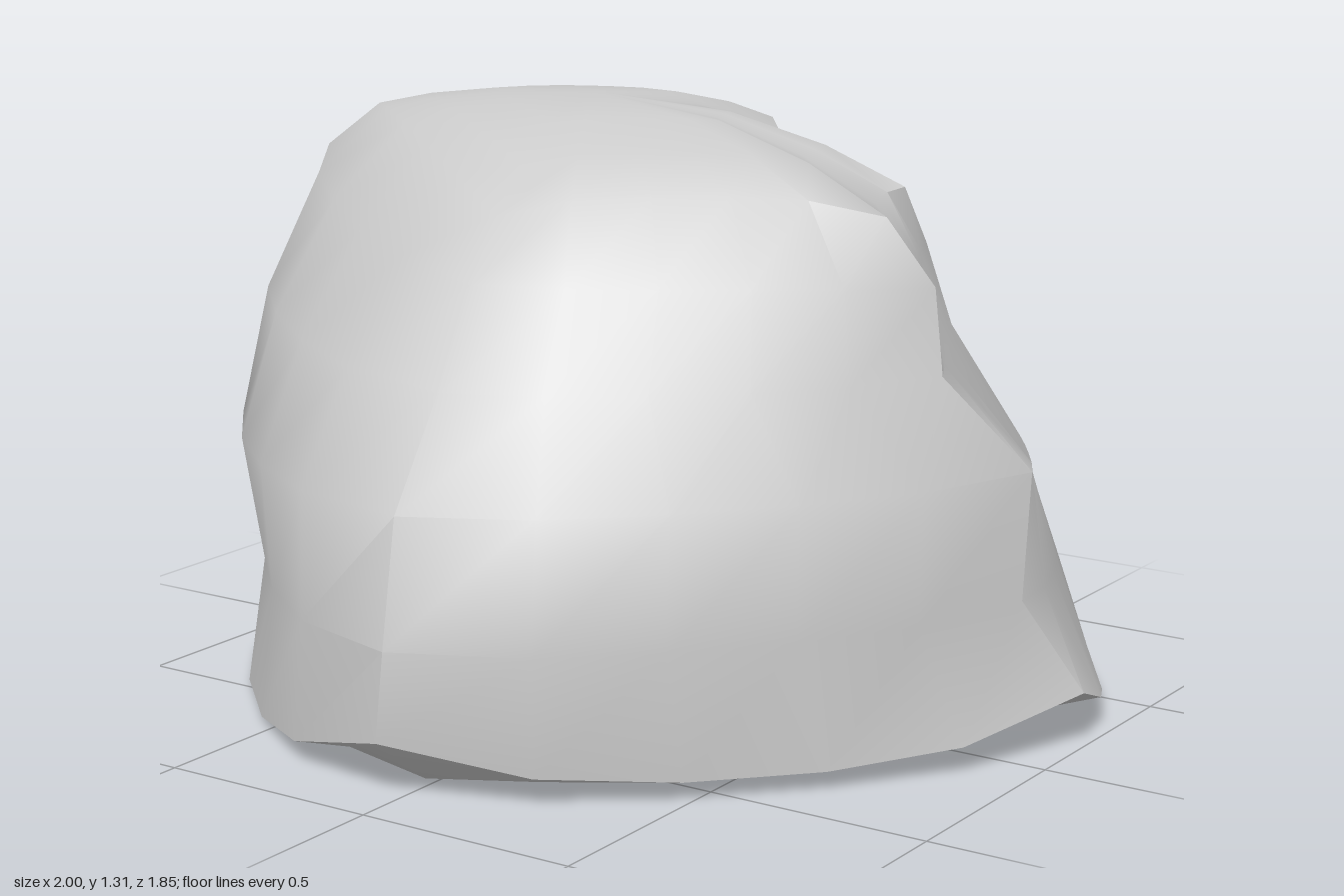
import * as THREE from 'three';
import { toCreasedNormals } from 'three/addons/utils/BufferGeometryUtils.js';

// Ridges run from the ground to the rim, ordered counterclockwise seen from above.
const RIDGES = [
  // front
  [[-.03, 0, .76], [-.03, .12, .92], [0, .32, .93], [-.02, .58, .86], [-.03, .8, .7], [-.035, 1, .58], [-.04, 1.13, .49]],
  // right
  [[.68, 0, -.1], [1, .12, -.17], [.885, .32, -.1], [.9, .6, -.1], [.74, .8, 0], [.73, .99, .02], [.63, 1.13, .05]],
  // back right lobe
  [[.52, 0, -.65], [.64, .04, -.77], [.64, .3, -.67], [.64, .58, -.51], [.54, .82, -.4], [.54, 1.02, -.28], [.53, 1.15, -.2]],
  // back
  [[.1, 0, -.72], [.06, .06, -.89], [.06, .32, -.78], [.02, .55, -.68], [-.03, .8, -.71], [0, 1.08, -.56], [0, 1.22, -.52]],
  // left
  [[-.9, 0, -.02], [-1, .05, 0], [-.9, .3, 0], [-1, .57, .03], [-.98, .87, 0], [-.92, 1.14, -.05], [-.8, 1.24, -.09]],
];

// Outward swell of the face after each ridge, one value per level.
const SWELL = [
  [.12, .15, .16, .14, .09, .05, 0],
  [.05, .065, .05, .01, 0, -.02, -.04],
  [.06, .08, .08, .02, -.05, -.08, -.06],
  [.03, .05, .1, .15, .18, .17, .15],
  [.16, .18, .19, .19, .17, .11, .04],
];

// How far each face's lower edge dips, and its rim rises, at the middle.
const DIP = [.08, .05, .02, .03, .08];
const LIFT = [.045, 0, 0, 0, .05];
const STEPS = 5;
const PEAK = new THREE.Vector3(-.2, 1.31, -.1);

// One closed loop of points around the rock at a given level.
function makeRing(level) {
  const ring = [];
  RIDGES.forEach((ridge, f) => {
    const a = new THREE.Vector3(...ridge[level]);
    const b = new THREE.Vector3(...RIDGES[(f + 1) % RIDGES.length][level]);
    const out = new THREE.Vector3(a.z - b.z, 0, b.x - a.x).normalize();
    for (let s = 0; s < STEPS; s++) {
      const t = s / STEPS;
      const arch = Math.sin(Math.PI * t) ** .55;
      const p = a.clone().lerp(b, t).addScaledVector(out, SWELL[f][level] * arch);
      if (level === 1) p.y = Math.max(.015, p.y - DIP[f] * arch);
      if (level === ridge.length - 1) p.y += LIFT[f] * arch;
      ring.push(p);
    }
  });
  return ring;
}

function rockGeometry() {
  const rings = RIDGES[0].map((_, level) => makeRing(level));
  const rim = rings[rings.length - 1];
  // shallow domed top
  for (const r of [.75, .45]) {
    rings.push(rim.map((p) => {
      const q = PEAK.clone().lerp(p, r);
      q.y = p.y + (PEAK.y - p.y) * (1 - r ** 2.3);
      return q;
    }));
  }

  const positions = [];
  const tri = (...points) => points.forEach((p) => positions.push(p.x, p.y, p.z));
  const n = rim.length;
  const base = new THREE.Vector3(0, 0, 0);
  const last = rings[rings.length - 1];
  for (let i = 0; i < n; i++) {
    const j = (i + 1) % n;
    for (let l = 0; l < rings.length - 1; l++) {
      const low = rings[l], high = rings[l + 1];
      tri(low[i], low[j], high[j]);
      tri(low[i], high[j], high[i]);
    }
    // flat underside and crown
    tri(rings[0][j], rings[0][i], base);
    tri(last[i], last[j], PEAK);
  }
  const geometry = new THREE.BufferGeometry();
  geometry.setAttribute('position', new THREE.Float32BufferAttribute(positions, 3));
  return toCreasedNormals(geometry, .75);
}

export function createModel() {
  const group = new THREE.Group();
  group.name = 'boulder';
  const rock = new THREE.Mesh(rockGeometry(), new THREE.MeshStandardMaterial({ color: 0xcccccc }));
  rock.name = 'rock';
  group.add(rock);
  return group;
}
